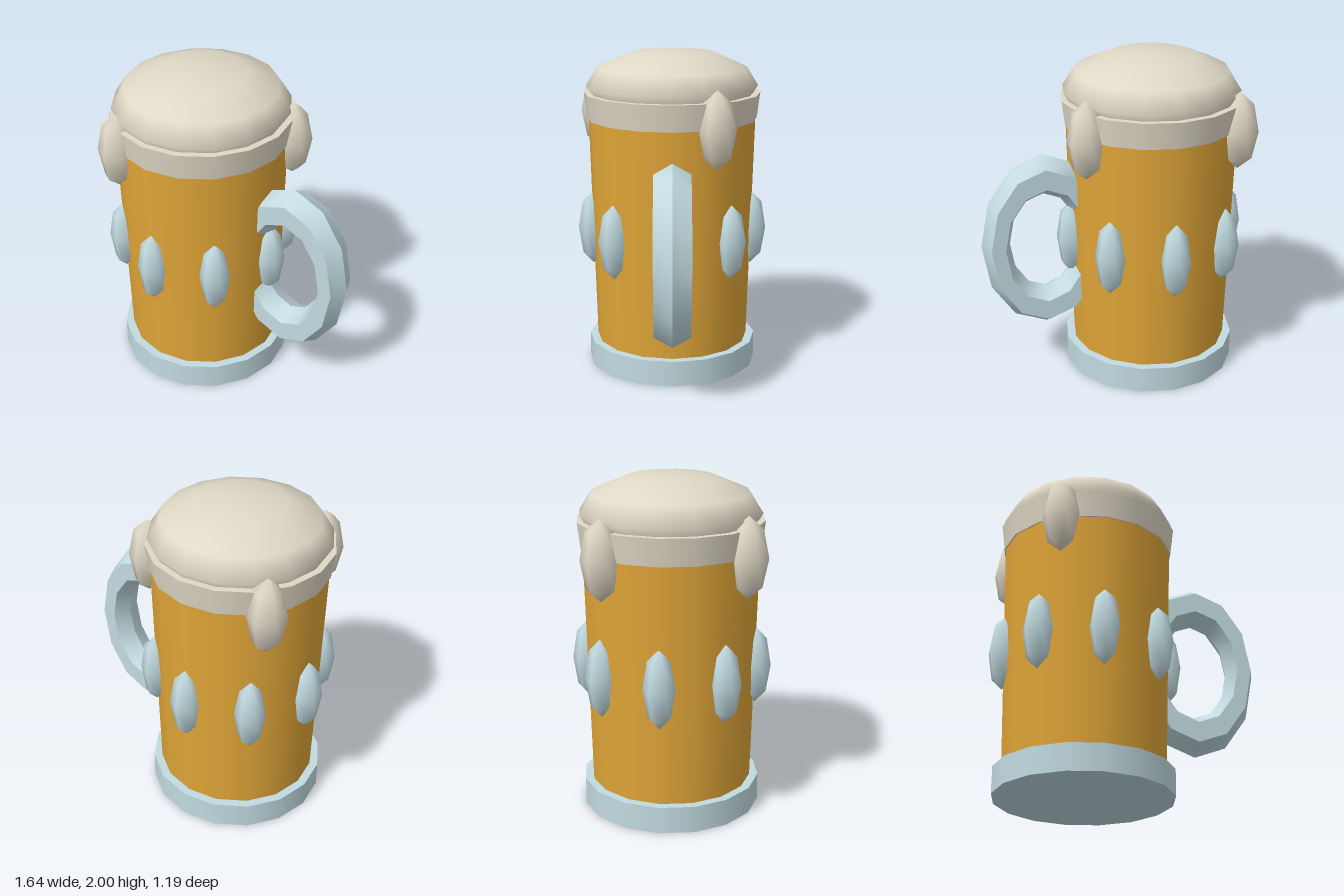
import * as THREE from 'three';
import { toCreasedNormals } from 'three/addons/utils/BufferGeometryUtils.js';

const AXIS_X = -0.24; // centre line of the mug
const SIDES = 16;

function material(name, color) {
  const m = new THREE.MeshStandardMaterial({ color });
  m.name = name;
  return m;
}

export function createModel() {
  const amber = material('amber', 0xdfa538);
  const glass = material('paleBlueGlass', 0xc2dbe1);
  const foam = material('creamFoam', 0xdfd8c6);

  const model = new THREE.Group();
  model.name = 'mug';

  function add(name, geometry, mat, x, y, z) {
    const mesh = new THREE.Mesh(geometry, mat);
    mesh.name = name;
    mesh.position.set(x, y, z);
    model.add(mesh);
    return mesh;
  }

  // Sixteen-sided section between two heights, smooth around its wall
  function section(name, mat, rTop, rBottom, y0, y1) {
    const geometry = new THREE.CylinderGeometry(rTop, rBottom, y1 - y0, SIDES);
    add(name, geometry, mat, AXIS_X, (y0 + y1) / 2, 0);
  }

  // Tall six-sided bead, with its corners pointing to front and back
  function beadGeometry(radius, halfHeight) {
    return new THREE.SphereGeometry(1, 6, 4)
      .rotateY(Math.PI / 2)
      .scale(radius, halfHeight, radius);
  }

  section('base', glass, 0.53, 0.53, 0, 0.16);
  section('body', amber, 0.52, 0.478, 0.1, 1.7);
  section('foamBand', foam, 0.545, 0.525, 1.57, 1.73);

  // Domed foam head
  const dome = new THREE.SphereGeometry(0.53, SIDES, 6).scale(1, 0.23 / 0.53, 1);
  add('foamDome', dome, foam, AXIS_X, 1.77, 0);

  // Glass studs around the middle
  const stud = beadGeometry(0.093, 0.235);
  for (let i = 0; i < 8; i++) {
    const a = (i * Math.PI) / 4;
    add('stud', stud, glass, AXIS_X + 0.5 * Math.cos(a), 0.865, 0.5 * Math.sin(a));
  }

  // Foam drips over the rim
  const drip = beadGeometry(0.115, 0.235);
  for (const [x, z] of [[0.23, -0.26], [-0.67, -0.33], [-0.5, 0.465]]) {
    add('foamDrip', drip, foam, x, 1.572, z);
  }

  // Oval handle with a hexagonal section
  const ring = new THREE.TorusGeometry(0.43, 0.125, 6, 12).scale(0.694, 1, 1);
  add('handle', toCreasedNormals(ring, 0.75), glass, 0.43, 0.865, 0);

  return model;
}
